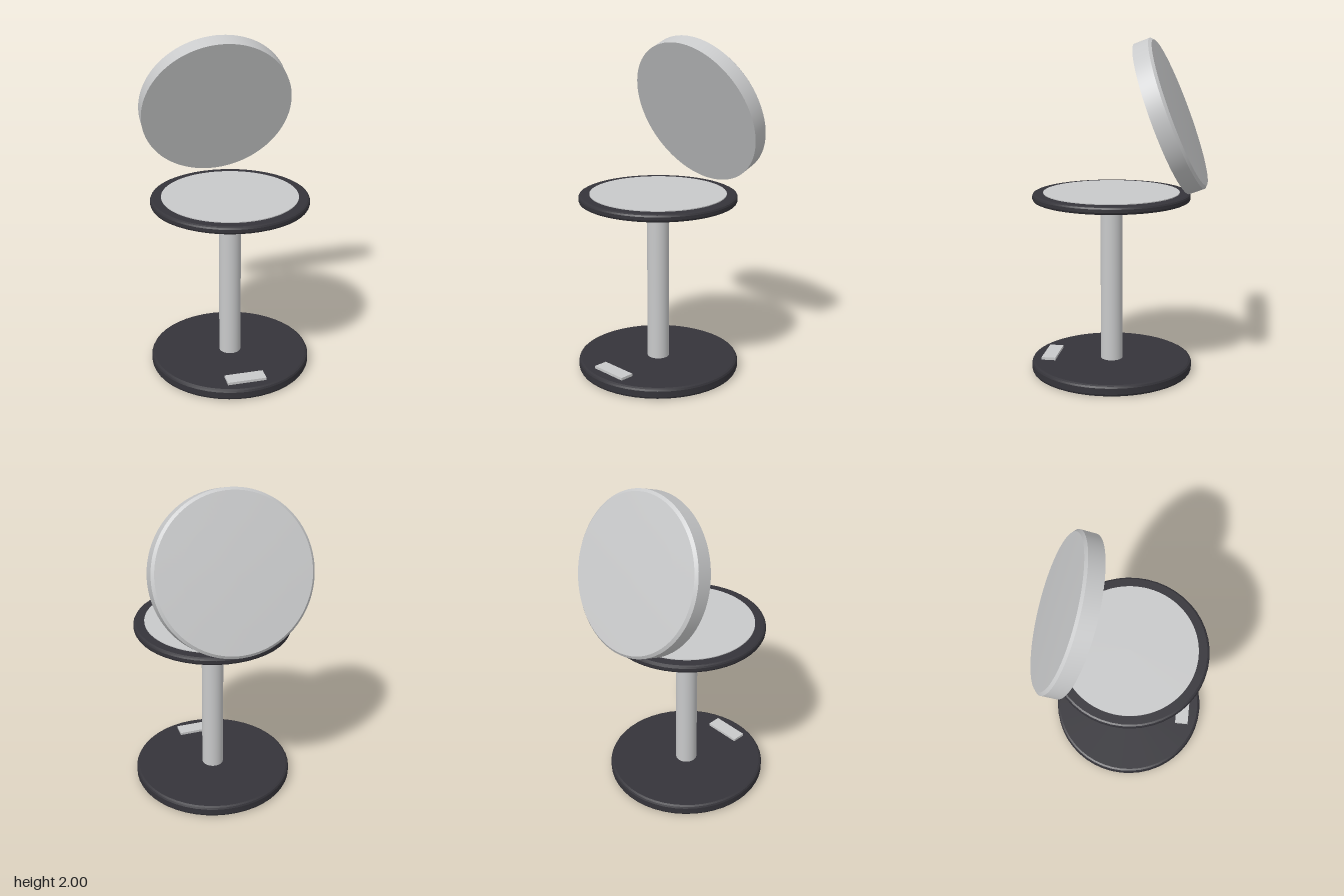
import * as THREE from 'three';
import { toCreasedNormals } from 'three/addons/utils/BufferGeometryUtils.js';

const silver = new THREE.MeshStandardMaterial({ name: 'silver grey', color: 0xc8c9ca });
const black = new THREE.MeshStandardMaterial({ name: 'charcoal', color: 0x35343a });

// Closed disc turned from a [radius, height] profile, listed bottom to top
function turned(name, profile, segments, material) {
  const points = profile.map(([r, y]) => new THREE.Vector2(r, y));
  const geometry = toCreasedNormals(new THREE.LatheGeometry(points, segments), 0.3);
  const mesh = new THREE.Mesh(geometry, material);
  mesh.name = name;
  return mesh;
}

// Flat round plate with chamfered top and bottom edges
function plate(name, radius, height, bevel) {
  return turned(name, [
    [0, 0], [radius - bevel, 0], [radius - bevel * 0.3, bevel * 0.35], [radius, bevel],
    [radius, height - bevel], [radius - bevel * 0.3, height - bevel * 0.35],
    [radius - bevel, height], [0, height],
  ], 48, black);
}

export function createModel() {
  const group = new THREE.Group();
  group.name = 'pedestalStand';

  // Everything but the lid shares one vertical axis
  const stand = new THREE.Group();
  stand.name = 'stand';
  stand.position.z = 0.041;
  group.add(stand);

  stand.add(plate('base', 0.486, 0.068, 0.016));

  const column = new THREE.Mesh(new THREE.CylinderGeometry(0.066, 0.066, 1.0, 48, 1, true), silver);
  column.name = 'column';
  column.position.y = 0.56;
  stand.add(column);

  const tray = plate('tray', 0.47, 0.046, 0.014);
  tray.position.y = 1.05;
  stand.add(tray);

  const inlay = turned('trayInlay', [[0, 0], [0.405, 0], [0.405, 0.009], [0, 0.009]], 96, silver);
  inlay.position.y = 1.092;
  stand.add(inlay);

  // Small raised label plate near the front of the base
  const badge = new THREE.Mesh(new THREE.BoxGeometry(0.235, 0.018, 0.085), silver);
  badge.name = 'badge';
  badge.position.set(0, 0.075, 0.371);
  stand.add(badge);

  // Tilted lid: flat front face, straight side, chamfer, barely domed back
  const lid = turned('lid', [
    [0, 0], [0.463, 0], [0.463, 0.095], [0.447, 0.11], [0.3, 0.114], [0, 0.117],
  ], 96, silver);
  lid.position.set(0, 1.536, -0.262);
  lid.rotation.x = -THREE.MathUtils.degToRad(68.8);
  group.add(lid);

  return group;
}
